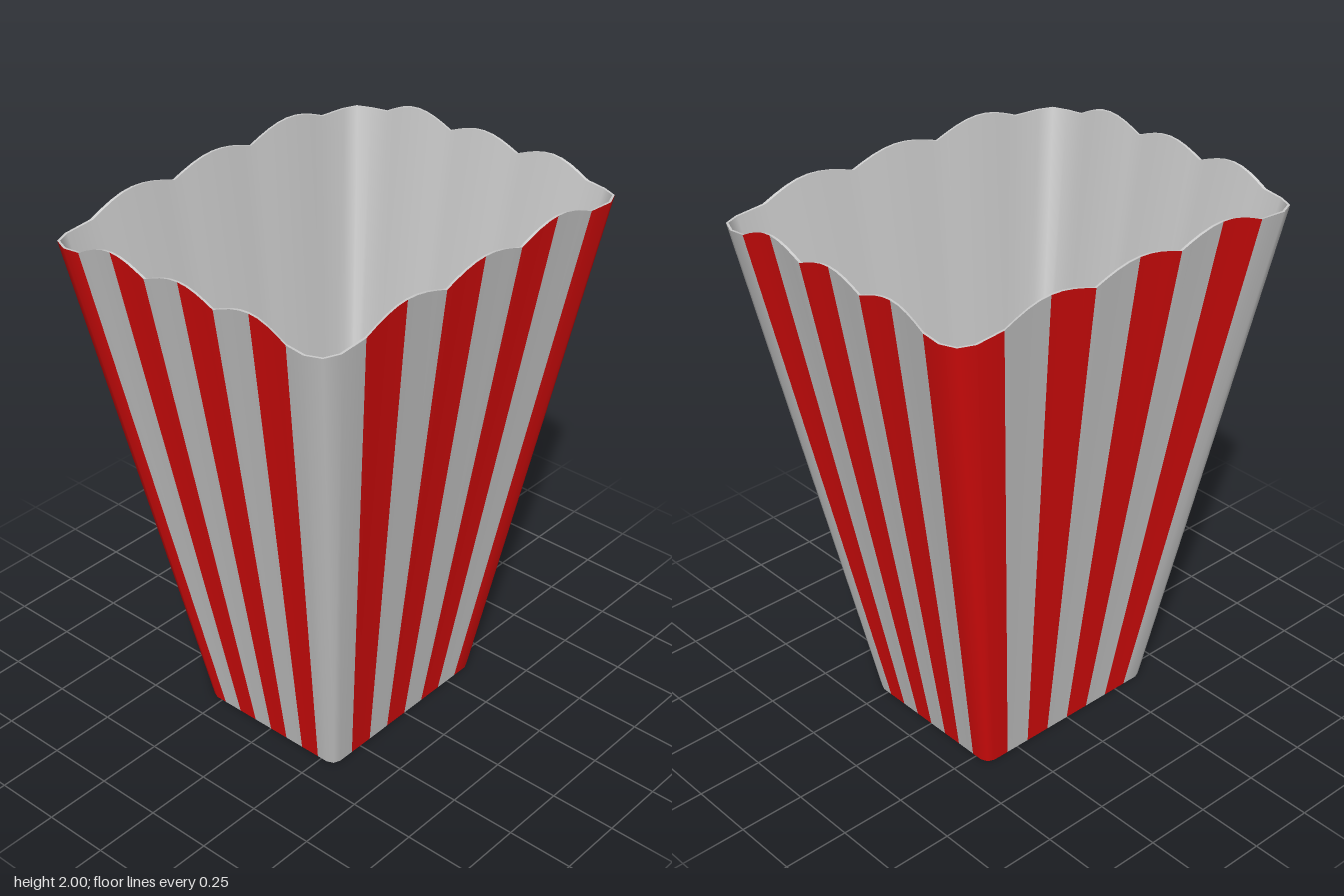
import * as THREE from 'three';

const RIM = { x: 0.6, z: 0.76, r: 0.08 };
const BASE = { x: 0.31, z: 0.395, r: 0.035 };
const WALL = 0.009;
const FLOOR_Y = 0.33;

// Positions along one side: corner middle, corner end, wavy part, corner end
const STEPS = [-1, -0.88];
for (let i = -12; i <= 12; i++) STEPS.push(i / 16);
STEPS.push(0.88);

// Scalloped rim height, lowest at the corners
function rimHeight(s) {
  const d = Math.abs(s);
  if (d > 0.75) return 1.94;
  const valley = d > 0.5 ? 1.948 : 1.958;
  return valley + (2 - valley) * Math.abs(Math.cos(2 * Math.PI * s));
}

// Rounded rectangle, counterclockwise seen from above, starting at front left
function ring(size, inset, height) {
  const points = [];
  const r = Math.max(size.r - inset, 0.01);
  for (let side = 0; side < 4; side++) {
    const odd = side % 2 === 1;
    const along = (odd ? size.z : size.x) - inset;
    const out = (odd ? size.x : size.z) - inset;
    for (const s of STEPS) {
      let t = s * along, n = out;
      if (s === -1) {
        t = -(along - r + r * Math.SQRT1_2);
        n = out - r + r * Math.SQRT1_2;
      } else if (Math.abs(s) === 0.88) {
        t = Math.sign(s) * (along - r);
      }
      const [x, z] = [[t, n], [n, -t], [-t, -n], [-n, t]][side];
      points.push(new THREE.Vector3(x, height(s), z));
    }
  }
  return points;
}

// Closed band between two rings, facing outward when lower comes first
function band(lower, upper) {
  const n = lower.length, index = [];
  for (let i = 0; i < n; i++) {
    const j = (i + 1) % n;
    index.push(i, j, n + j, i, n + j, n + i);
  }
  const geo = new THREE.BufferGeometry().setFromPoints([...lower, ...upper]);
  geo.setIndex(index);
  geo.computeVertexNormals();
  return geo;
}

// Flat cap filling a ring
function cap(points, up) {
  const n = points.length, index = [];
  for (let i = 0; i < n; i++) {
    const j = (i + 1) % n;
    index.push(n, up ? i : j, up ? j : i);
  }
  const centre = new THREE.Vector3(0, points[0].y, 0);
  const geo = new THREE.BufferGeometry().setFromPoints([...points, centre]);
  geo.setIndex(index);
  geo.computeVertexNormals();
  return geo;
}

export function createModel() {
  const group = new THREE.Group();
  const grey = new THREE.MeshStandardMaterial({ color: 0xcccccc });
  const red = new THREE.MeshStandardMaterial({ color: 0xdd0c0c });
  const add = (name, geo, mat) => {
    const mesh = new THREE.Mesh(geo, mat);
    mesh.name = name;
    group.add(mesh);
  };

  const outerBase = ring(BASE, 0, () => 0);
  const outerRim = ring(RIM, 0, rimHeight);
  const innerRim = ring(RIM, WALL, rimHeight);
  const f = FLOOR_Y / 2;
  const mix = (k) => THREE.MathUtils.lerp(BASE[k], RIM[k], f);
  const innerFloor = ring({ x: mix('x'), z: mix('z'), r: mix('r') }, WALL, () => FLOOR_Y);

  // Outer wall, split into alternating stripes that share smooth normals
  const wall = band(outerBase, outerRim);
  const all = wall.getIndex().array;
  const stripes = { red: [], grey: [] };
  for (let i = 0; i < outerBase.length; i++) {
    const side = Math.floor(i / STEPS.length), k = i % STEPS.length;
    const mid = (STEPS[k] + (STEPS[k + 1] ?? 1)) / 2;
    const even = Math.floor((mid + 1) * 4) % 2 === 0;
    const startsRed = side === 0 || side === 3;
    stripes[even === startsRed ? 'red' : 'grey'].push(...all.slice(i * 6, i * 6 + 6));
  }
  add('redStripes', wall.clone().setIndex(stripes.red), red);
  add('greyStripes', wall.clone().setIndex(stripes.grey), grey);

  // Inside, rim edge, raised floor and underside
  add('innerWall', band(innerRim, innerFloor), grey);
  add('rimEdge', band(outerRim, innerRim), grey);
  add('innerFloor', cap(innerFloor, true), grey);
  add('underside', cap(outerBase, false), grey);

  return group;
}
